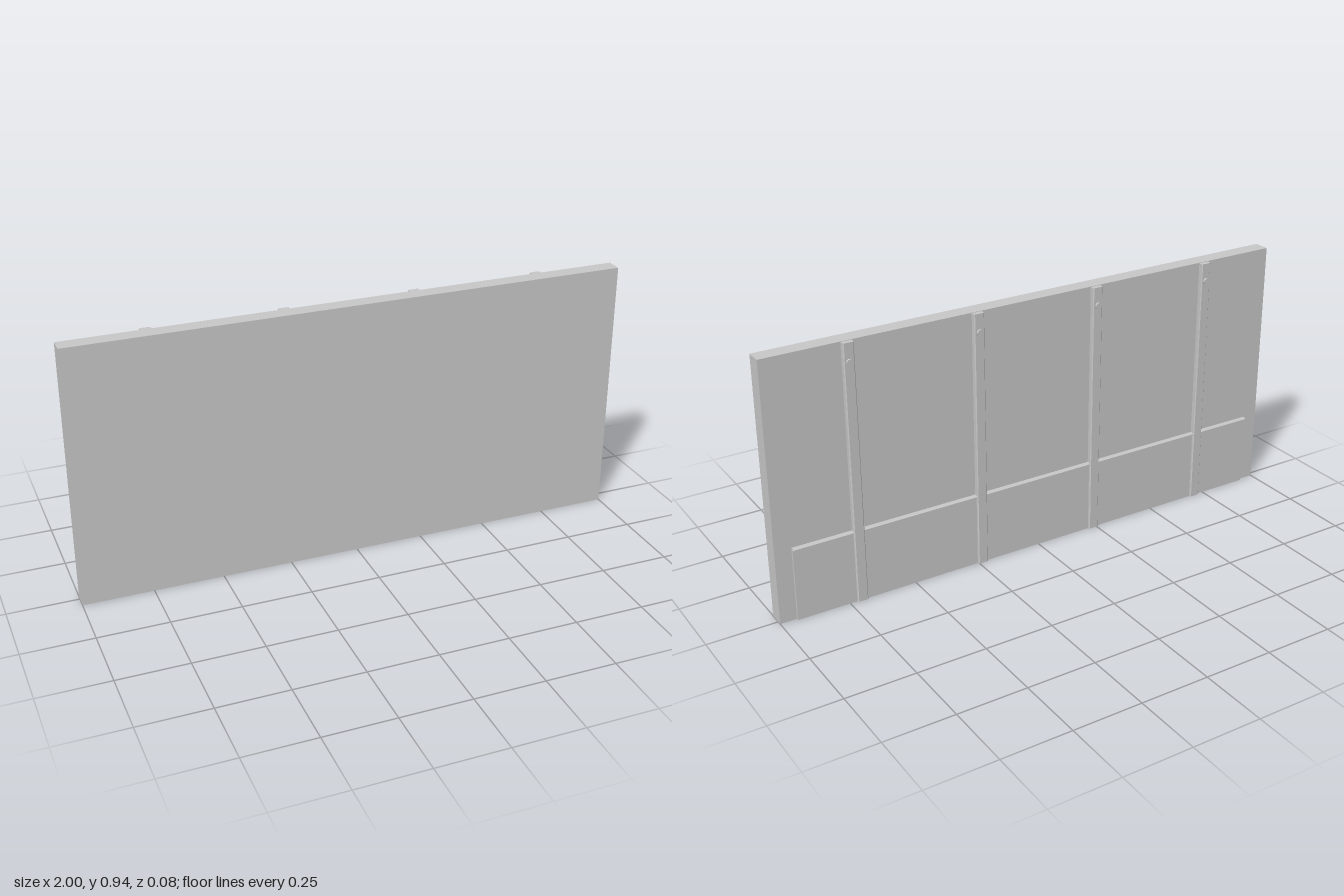
import * as THREE from 'three';

export function createModel() {
  const model = new THREE.Group();
  const grey = new THREE.MeshStandardMaterial({ color: 0xc8c8c8 });
  grey.name = 'lightGrey';
  const height = 0.94, back = -0.016;

  const add = (name, geometry, x, y, z) => {
    const mesh = new THREE.Mesh(geometry, grey);
    mesh.name = name;
    mesh.position.set(x, y, z);
    model.add(mesh);
  };
  const extrude = (points, depth) => new THREE.ExtrudeGeometry(
    new THREE.Shape(points.map(([x, y]) => new THREE.Vector2(x, y))),
    { depth, bevelEnabled: false });

  // Main slab
  add('wallPanel', new THREE.BoxGeometry(2, height, 0.058), 0, height / 2, 0.013);

  // Thin lower sheet with a projecting, bevelled lip along its top
  add('lowerSheet', new THREE.BoxGeometry(1.88, 0.263, 0.009), 0, 0.1315, back - 0.0045);
  const lipGeometry = extrude(
    [[0, 0], [0.015, 0], [0.015, 0.004], [0.011, 0.008], [0, 0.008]], 1.88);
  lipGeometry.rotateY(Math.PI / 2);
  add('sheetLip', lipGeometry, -0.94, 0.262, back);

  // Upright ribs with chamfered back edges, just short of the slab's top and bottom
  const ribGeometry = extrude(
    [[-0.019, 0], [0.019, 0], [0.019, 0.015], [0.016, 0.018], [-0.016, 0.018], [-0.019, 0.015]],
    height - 0.003);
  ribGeometry.rotateX(-Math.PI / 2);

  // Round stud near the top of each rib
  const studGeometry = new THREE.CylinderGeometry(0.0115, 0.0115, 0.008, 20);
  studGeometry.rotateX(Math.PI / 2);

  for (const x of [-0.705, -0.235, 0.235, 0.705]) {
    add('uprightRib', ribGeometry, x, 0.0015, back);
    add('ribStud', studGeometry, x, 0.873, back - 0.0205);
  }
  return model;
}
